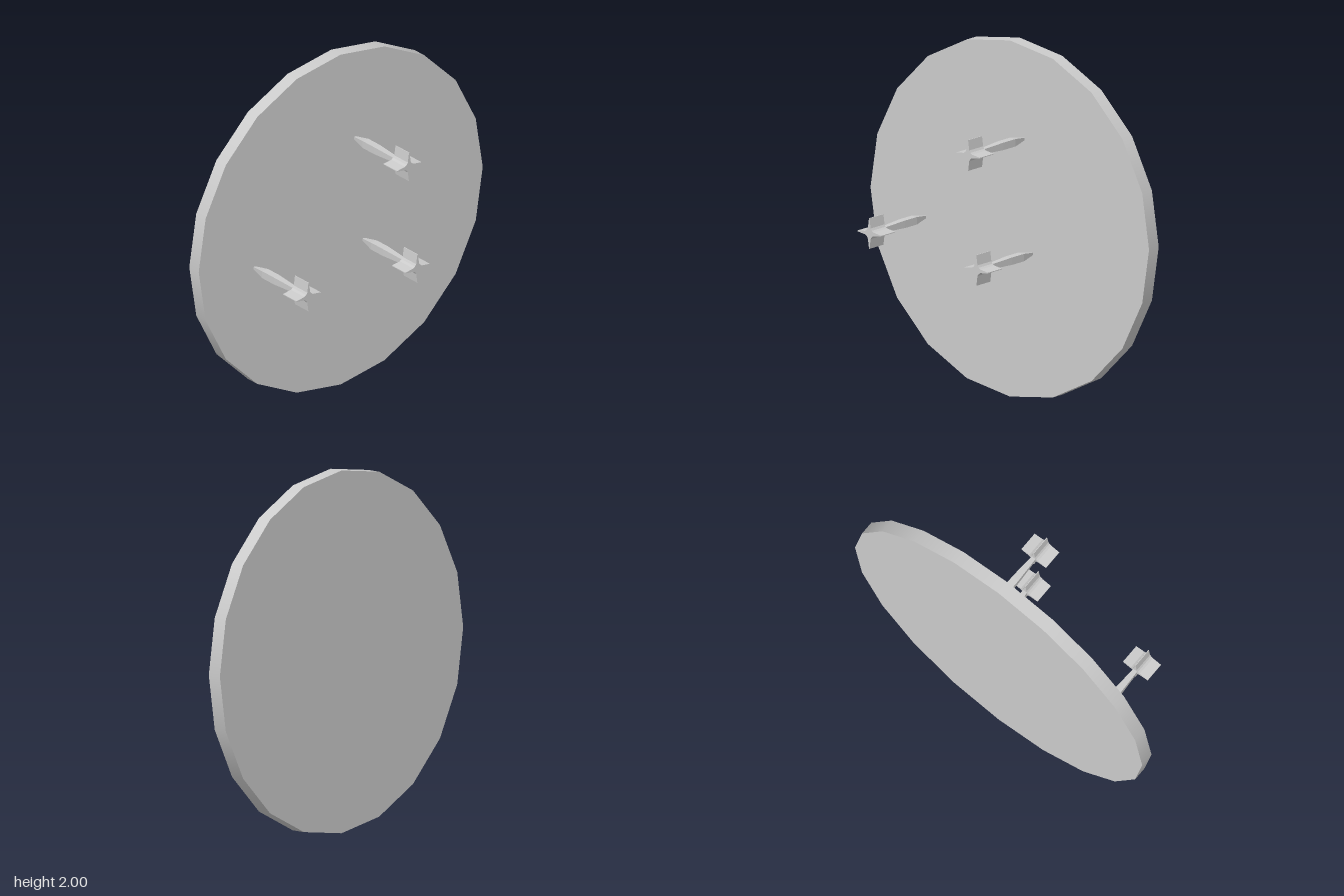
import * as THREE from 'three';

const material = new THREE.MeshStandardMaterial({ color: 0xcccccc });
const flat = new THREE.MeshStandardMaterial({ color: 0xcccccc, flatShading: true });

// Square-section barrel: profile of [half width, z], swept with four sides
function barrelGeometry() {
  const profile = [[0, -0.2], [0.007, -0.19], [0.021, -0.1], [0.021, 0], [0.013, 0.16], [0, 0.16]];
  const points = profile.map(([r, z]) => new THREE.Vector2(r * Math.SQRT2, z));
  return new THREE.LatheGeometry(points, 4, Math.PI / 4).rotateX(Math.PI / 2);
}

// Four-pointed star flight, extruded along z
function flightGeometry() {
  const arm = [[0.086, -0.002], [0.086, 0.002], [0.03, 0.01], [0.018, 0.018], [0.01, 0.03]];
  const points = [];
  for (let i = 0; i < 4; i++) {
    const a = i * Math.PI / 2;
    for (const [x, y] of arm) {
      points.push(new THREE.Vector2(x, y).rotateAround(new THREE.Vector2(), a));
    }
  }
  return new THREE.ExtrudeGeometry(new THREE.Shape(points), { depth: 0.115, bevelEnabled: false })
    .translate(0, 0, 0.156);
}

export function createModel() {
  const model = new THREE.Group();
  model.name = 'dartboard';

  function add(parent, name, geometry, mat) {
    const mesh = new THREE.Mesh(geometry, mat);
    mesh.name = name;
    parent.add(mesh);
    return mesh;
  }

  // Twenty-sided board, standing upright
  const board = add(model, 'board', new THREE.CylinderGeometry(1, 1, 0.08, 20).rotateX(Math.PI / 2), material);
  board.position.set(0, 1, -0.231);

  // Three darts stuck in the face
  const barrel = barrelGeometry();
  const flight = flightGeometry();
  [[0.1, 1.465], [-0.608, 0.902], [0.159, 0.83]].forEach(([x, y], i) => {
    const dart = new THREE.Group();
    dart.name = `dart${i + 1}`;
    dart.position.set(x, y, 0);
    add(dart, 'barrel', barrel, flat);
    add(dart, 'flight', flight, flat);
    model.add(dart);
  });

  return model;
}
